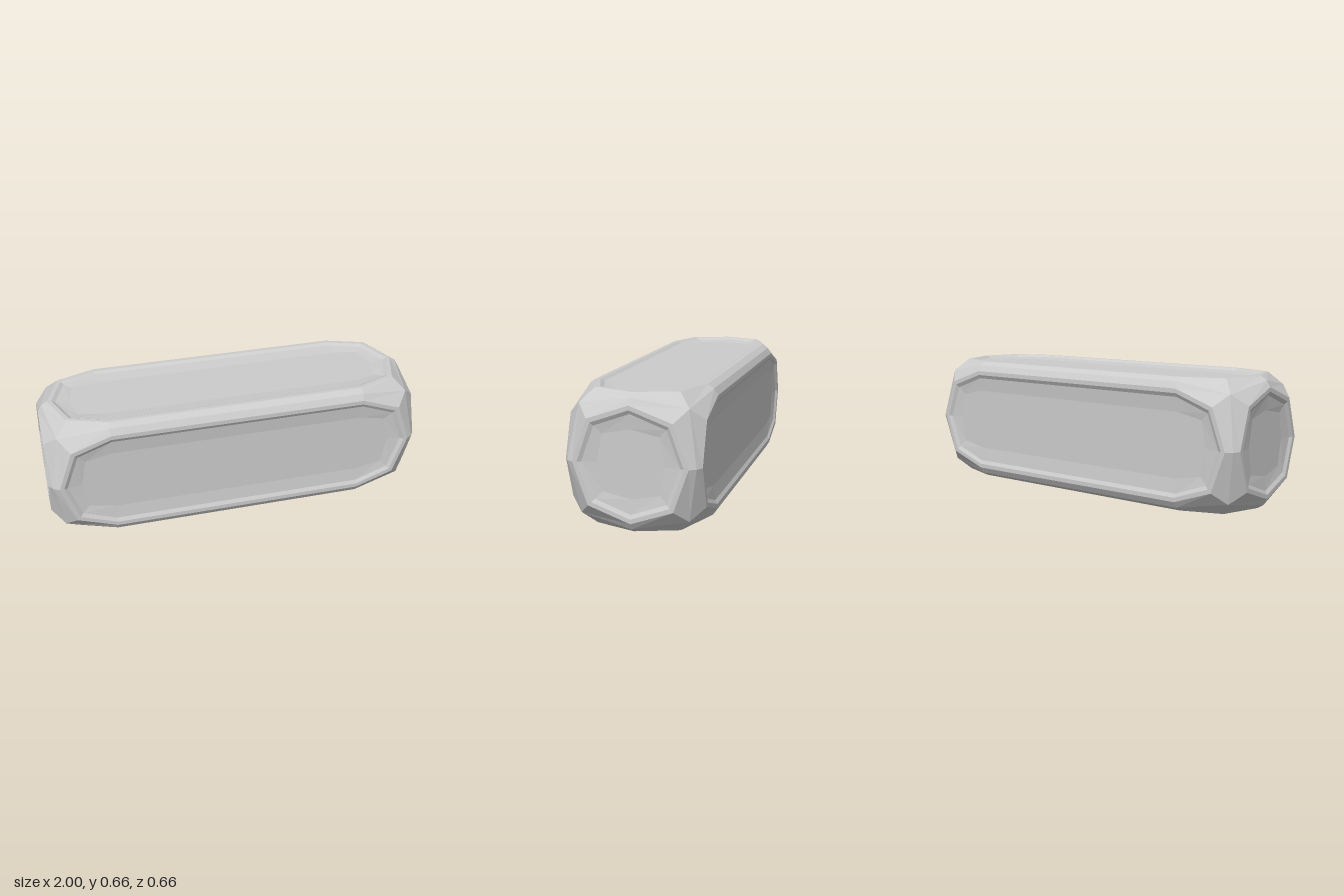
import * as THREE from 'three';

const HALF = 0.331;           // half of the square section
const STRETCH = 1 - HALF;     // how far the two ends are pulled apart along x

// Octagonal rings of one face, from the outer ridge to the recessed floor:
// [radius at side middles, height there, coordinate at diagonals, height there]
const RINGS = [
  [0.311, 0.311, 0.265, 0.265],   // ridge shared with the neighbouring faces
  [0.279, HALF, 0.206, HALF],     // edge of the bevel
  [0.257, HALF, 0.189, HALF],     // flat lip
  [0.238, 0.320, 0.174, 0.320],   // foot of the recess wall
  [0.165, 0.312, 0.137, 0.312],   // sunken floor
];

// One ring, counter-clockwise seen from +z; its top and bottom points are doubled when stretched
function ringPoints([a, ha, d, hd], stretch, lift) {
  const right = [[0, -a, ha], [d, -d, hd], [a, 0, ha], [d, d, hd], [0, a, ha]];
  const left = right.map(([x, y, z]) => [-x, -y, z]);
  return [
    ...right.map(([x, y, z]) => new THREE.Vector3(x + stretch, y, z + lift)),
    ...left.map(([x, y, z]) => new THREE.Vector3(x - stretch, y, z + lift)),
  ];
}

// A bevelled face with a recessed octagonal panel, facing +z
function faceGeometry(stretch, lift) {
  const rings = RINGS.map((r) => ringPoints(r, stretch, lift));
  const positions = [];
  const triangle = (a, b, c) => {
    const area = b.clone().sub(a).cross(c.clone().sub(a)).length();
    if (area > 1e-8) for (const p of [a, b, c]) positions.push(p.x, p.y, p.z);
  };
  // bands between consecutive rings
  for (let r = 0; r < rings.length - 1; r++) {
    const outer = rings[r], inner = rings[r + 1], n = outer.length;
    for (let i = 0; i < n; i++) {
      const j = (i + 1) % n;
      triangle(outer[i], outer[j], inner[j]);
      triangle(outer[i], inner[j], inner[i]);
    }
  }
  // flat floor
  const floor = rings[rings.length - 1];
  for (let i = 1; i < floor.length - 1; i++) triangle(floor[0], floor[i], floor[i + 1]);

  const geometry = new THREE.BufferGeometry();
  geometry.setAttribute('position', new THREE.Float32BufferAttribute(positions, 3));
  geometry.computeVertexNormals();
  return geometry;
}

export function createModel() {
  const group = new THREE.Group();
  group.name = 'panelledBeam';
  const material = new THREE.MeshStandardMaterial({ color: 0xcccccc, flatShading: true });

  // four long faces around the x axis
  const longFace = faceGeometry(STRETCH, 0);
  ['frontFace', 'bottomFace', 'backFace', 'topFace'].forEach((name, k) => {
    const mesh = new THREE.Mesh(longFace, material);
    mesh.name = name;
    mesh.rotation.x = k * Math.PI / 2;
    mesh.position.y = HALF;
    group.add(mesh);
  });

  // two square end caps
  const endFace = faceGeometry(0, STRETCH);
  [['leftEnd', 1], ['rightEnd', -1]].forEach(([name, side]) => {
    const mesh = new THREE.Mesh(endFace, material);
    mesh.name = name;
    mesh.rotation.y = side * Math.PI / 2;
    mesh.position.y = HALF;
    group.add(mesh);
  });

  return group;
}
